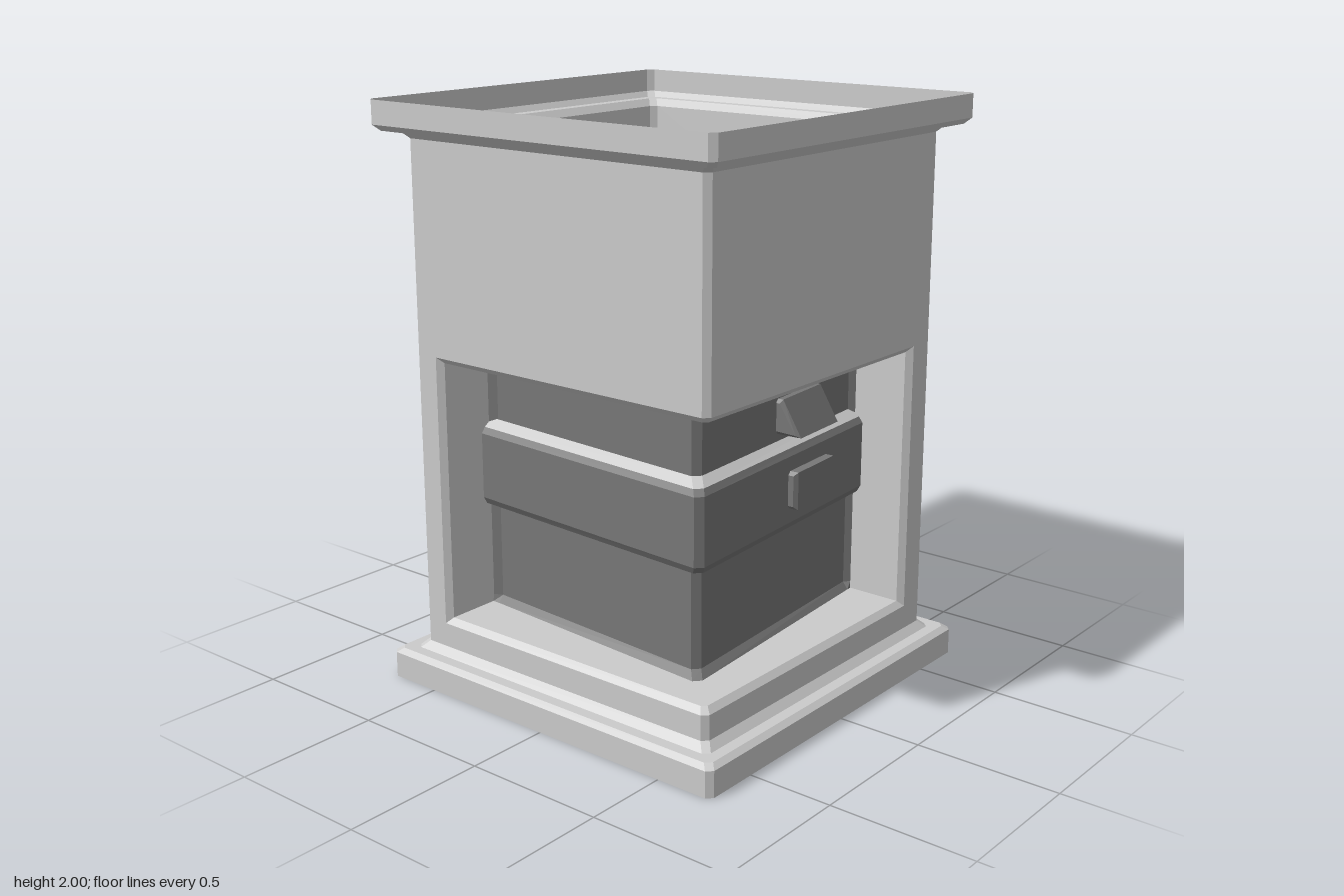
import * as THREE from 'three';

const light = new THREE.MeshStandardMaterial({ color: 0xcccccc, flatShading: true, side: THREE.DoubleSide });
const dark = new THREE.MeshStandardMaterial({ color: 0x777777, flatShading: true, side: THREE.DoubleSide });

// Skin between successive rows of [x, y, z] points
function skin(rows) {
  const pos = [];
  for (let i = 0; i < rows.length - 1; i++) {
    for (let j = 0; j < rows[i].length - 1; j++) {
      const a = rows[i][j], b = rows[i][j + 1], c = rows[i + 1][j + 1], d = rows[i + 1][j];
      pos.push(...a, ...b, ...c, ...a, ...c, ...d);
    }
  }
  const g = new THREE.BufferGeometry();
  g.setAttribute('position', new THREE.Float32BufferAttribute(pos, 3));
  g.computeVertexNormals();
  return g;
}

// Lift a plan path of [x, z] points to height y
const at = (path, y) => path.map(([x, z]) => [x, y, z]);

// Square plan with small cut corners, closed
function ring(h, c = 0.02) {
  const k = h - c;
  return [[-k, h], [k, h], [h, k], [h, -k], [k, -h], [-k, -h], [-h, -k], [-h, k], [-k, h]];
}

// Flat horizontal plate from a plan outline
function plate(path, y, up) {
  const s = up ? -1 : 1;
  const g = new THREE.ShapeGeometry(new THREE.Shape(path.map(([x, z]) => new THREE.Vector2(x, z * s))));
  return g.rotateX(s * Math.PI / 2).translate(0, y, 0);
}

// Bevelled block: a [z, y] side profile carried across a width centred on x = 0
function block(profile, width) {
  const b = 0.012;
  const g = new THREE.ExtrudeGeometry(new THREE.Shape(profile.map(p => new THREE.Vector2(...p))), {
    depth: width - 2 * b, bevelEnabled: true, bevelSize: b, bevelThickness: b, bevelOffset: -b, bevelSegments: 1,
  });
  return g.rotateY(-Math.PI / 2).translate(width / 2 - b, 0, 0);
}

export function createModel() {
  const model = new THREE.Group();
  const add = (name, geometry, material = light, parent = model) => {
    const m = new THREE.Mesh(geometry, material);
    m.name = name;
    parent.add(m);
    return m;
  };

  // Stepped base, walls and open flared rim: [half width, height]
  const shell = levels => skin(levels.map(([h, y]) => at(ring(h), y)));
  add('base', shell([[0.705, 0], [0.705, 0.09], [0.685, 0.105], [0.645, 0.105], [0.62, 0.13], [0.62, 0.215]]));
  add('upperWallAndRim', shell([[0.62, 1.16], [0.62, 1.875], [0.645, 1.9], [0.685, 1.9], [0.705, 1.92], [0.705, 2]]));
  add('bottom', plate(ring(0.705).slice(0, -1), 0, false), dark);

  // Walls beside the corner recess
  const walls = [[0.51, 0.62], [0.6, 0.62], [0.62, 0.6], [0.62, -0.6], [0.6, -0.62], [-0.6, -0.62], [-0.62, -0.6], [-0.62, -0.52]];
  add('middleWall', skin([at(walls, 0.215), at(walls, 1.16)]));

  // Bevelled lips of the recess
  const outer = [[-0.62, -0.52], [-0.62, 0.6], [-0.6, 0.62], [0.51, 0.62]];
  const inner = [[-0.6, -0.5], [-0.6, 0.585], [-0.585, 0.6], [0.49, 0.6]];
  add('lowerLip', skin([at(outer, 0.215), at(inner, 0.235)]));
  add('upperLip', skin([at(inner, 1.14), at(outer, 1.16)]));

  // Recess floor, ceiling and end walls
  const edge = [[-0.41, -0.5], [-0.41, -0.47], [-0.48, 0.455], [-0.455, 0.477], [0.47, 0.407], [0.49, 0.405]];
  const footprint = [...inner, ...edge.slice().reverse()];
  add('recessFloor', plate(footprint, 0.235, true));
  add('recessCeiling', plate(footprint, 1.14, false));
  add('rearJamb', skin([
    [[-0.62, 0.215, -0.52], [-0.6, 0.235, -0.5], [-0.41, 0.235, -0.5]],
    [[-0.62, 1.16, -0.52], [-0.6, 1.14, -0.5], [-0.41, 1.14, -0.5]],
  ]));
  add('frontJamb', skin([
    [[0.49, 0.235, 0.385], [0.49, 0.235, 0.6], [0.51, 0.215, 0.62]],
    [[0.49, 1.14, 0.385], [0.49, 1.14, 0.6], [0.51, 1.16, 0.62]],
  ]));

  // Slanted dark panel at the back of the recess
  const face = [[-0.405, -0.5], [-0.39, -0.47], [-0.455, 0.43], [-0.43, 0.452], [0.47, 0.387], [0.49, 0.405]];
  add('recessPanel', skin([at(edge, 0.235), at(face, 0.26), at(face, 1.12), at(edge, 1.14)]), dark);

  // Raised band around the panel: [projection, height]
  const bandRow = ([d, y]) => at([[-0.39 - d, -0.5], [-0.455 - d, 0.43 + d], [-0.43 - d, 0.452 + d], [0.49, 0.386 + d]], y);
  add('band', skin([[0, 0.6], [0.035, 0.605], [0.05, 0.63], [0.05, 0.86], [0.035, 0.88]].map(bandRow)), dark);
  add('bandTop', skin([[0.035, 0.88], [0, 0.905]].map(bandRow)));

  // Sloping flap above the band and small block on it
  const fittings = new THREE.Group();
  fittings.name = 'panelFittings';
  fittings.position.set(0.125, 0, 0.412);
  fittings.rotation.y = 0.072;
  model.add(fittings);
  add('flap', block([[-0.01, 0.93], [0.09, 0.93], [0.02, 1.05], [-0.01, 1.05]], 0.26), dark, fittings);
  add('handle', block([[0.03, 0.68], [0.08, 0.68], [0.08, 0.81], [0.03, 0.81]], 0.25), dark, fittings);

  return model;
}
